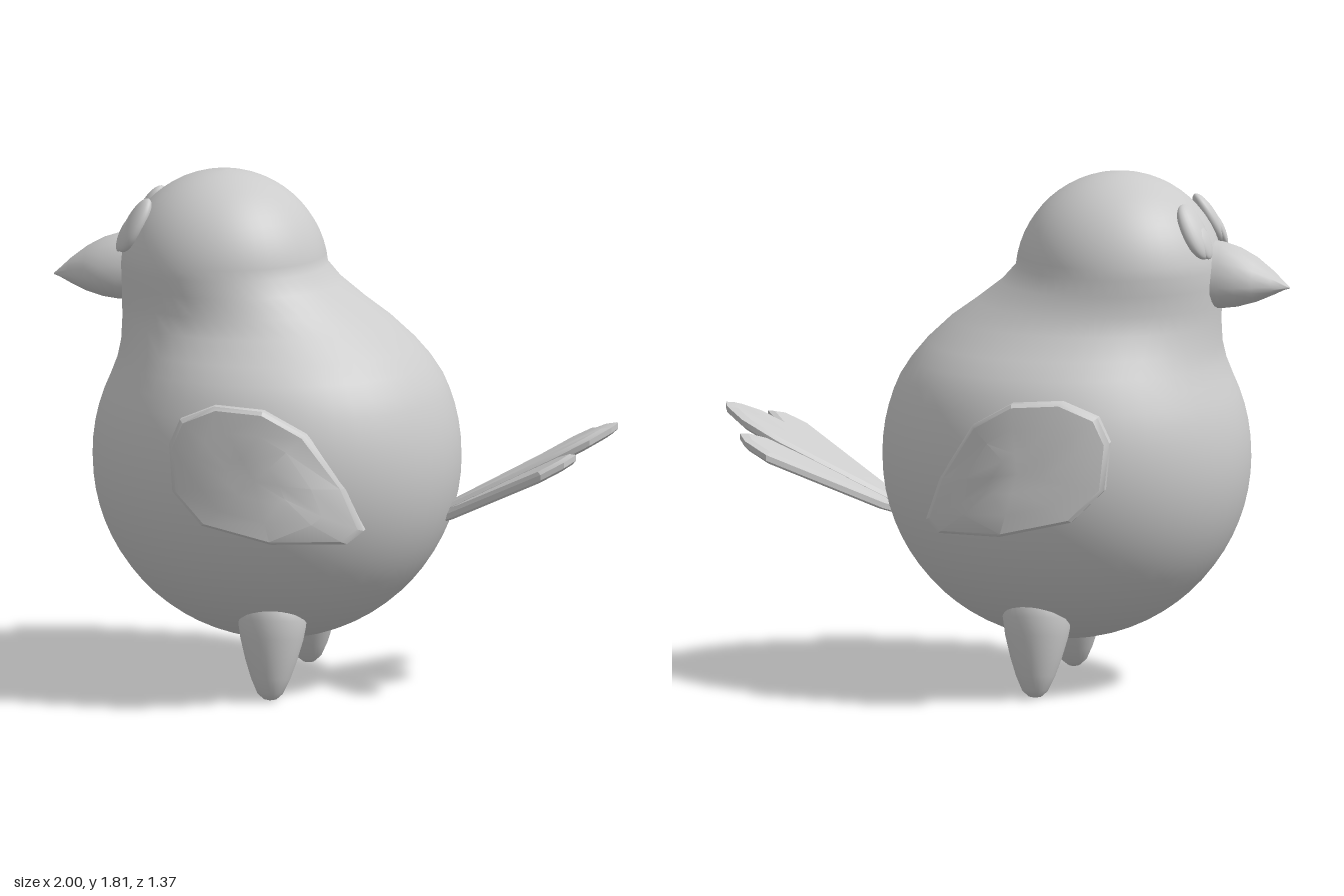
import * as THREE from 'three';
import { toCreasedNormals } from 'three/addons/utils/BufferGeometryUtils.js';

const grey = new THREE.MeshStandardMaterial({ color: 0xcccccc });

function mesh(name, geometry) {
  const m = new THREE.Mesh(geometry, grey);
  m.name = name;
  return m;
}

// Closed solid through a list of rings; both ends are capped and faces always point outward.
function loft(rings, crease) {
  const n = rings[0].length, pos = rings.flat(2), idx = [];
  for (let r = 0; r < rings.length - 1; r++) {
    for (let i = 0; i < n; i++) {
      const a = r * n + i, b = r * n + (i + 1) % n;
      idx.push(a, b, b + n, a, b + n, a + n);
    }
  }
  [0, rings.length - 1].forEach((r, end) => {
    const c = pos.length / 3;
    for (let k = 0; k < 3; k++) pos.push(rings[r].reduce((s, p) => s + p[k] / n, 0));
    for (let i = 0; i < n; i++) {
      const a = r * n + i, b = r * n + (i + 1) % n;
      idx.push(...(end ? [a, b, c] : [b, a, c]));
    }
  });
  // Signed volume tells whether the solid is inside out
  const v = (i) => new THREE.Vector3().fromArray(pos, i * 3);
  let volume = 0;
  for (let i = 0; i < idx.length; i += 3) volume += v(idx[i]).dot(v(idx[i + 1]).cross(v(idx[i + 2])));
  if (volume < 0) idx.reverse();
  const g = new THREE.BufferGeometry();
  g.setAttribute('position', new THREE.Float32BufferAttribute(pos, 3));
  g.setIndex(idx);
  g.computeVertexNormals();
  return crease ? toCreasedNormals(g, crease) : g;
}

// Round body, neck and head as one stack of ellipses: y, xMin, xMax, half depth
function makeBody() {
  const stations = [];
  for (let i = 0; i <= 22; i++) {
    const t = -Math.PI / 2 + 0.02 + (i / 22) * (Math.PI / 2 + 0.43);
    const r = 0.645 * Math.cos(t);
    stations.push([0.81 + 0.645 * Math.sin(t), -0.207 - r, -0.207 + r, r * 0.985]);
  }
  stations.push(
    [1.15, -0.765, 0.335, 0.54], [1.21, -0.753, 0.285, 0.487], [1.29, -0.75, 0.2, 0.42],
    [1.355, -0.752, 0.11, 0.385], [1.425, -0.757, 0.02, 0.37]);
  for (let i = 0; i <= 14; i++) {
    const t = 0.1 + (i / 14) * (Math.PI / 2 - 0.12);
    const r = 0.365 * Math.cos(t);
    stations.push([1.447 + 0.365 * Math.sin(t), -0.395 - r, -0.395 + r, r]);
  }
  const rings = stations.map(([y, x0, x1, d]) => Array.from({ length: 48 }, (_, i) => {
    const a = (i / 48) * Math.PI * 2;
    return [(x0 + x1) / 2 + Math.cos(a) * (x1 - x0) / 2, y, Math.sin(a) * d];
  }));
  return mesh('body', loft(rings));
}

// Beak sections along x: x, mouth height, height above, depth below, half width
function makeBeak() {
  const rings = [
    [-0.66, 1.43, 0.155, 0.09, 0.115], [-0.76, 1.43, 0.148, 0.088, 0.118],
    [-0.82, 1.43, 0.128, 0.08, 0.116], [-0.88, 1.43, 0.095, 0.063, 0.095],
    [-0.94, 1.428, 0.05, 0.035, 0.056], [-0.98, 1.424, 0.016, 0.012, 0.02],
    [-1, 1.42, 0.002, 0.002, 0.002],
  ].map(([x, y, up, down, w]) => Array.from({ length: 20 }, (_, i) => {
    const a = (i / 20) * Math.PI * 2, s = Math.sin(a);
    return [x, y + s * (s > 0 ? up : down), Math.cos(a) * w];
  }));
  return mesh('beak', loft(rings, 0.7));
}

// Oval eye with a smaller pupil, lying flat on the head
function makeEye(side) {
  const eye = new THREE.Group();
  eye.name = side > 0 ? 'eyeFrontSide' : 'eyeBackSide';
  const oval = (name, x, y, z, w, h, d) => {
    const m = mesh(name, new THREE.SphereGeometry(1, 24, 16));
    m.position.set(x, y, z * side);
    m.lookAt(x * 2 + 0.395, y * 2 - 1.45, z * 2 * side);
    m.scale.set(w, h, d);
    eye.add(m);
  };
  oval('eyeball', -0.685, 1.63, 0.14, 0.058, 0.105, 0.032);
  oval('pupil', -0.722, 1.596, 0.143, 0.034, 0.063, 0.018);
  return eye;
}

// Wing plate that wraps around the flank
const wingOutline = [
  [-0.475, 0.95], [-0.435, 1.04], [-0.31, 1.095], [-0.135, 1.085], [0.01, 1.0], [0.14, 0.8],
  [0.197, 0.645], [0.145, 0.605], [-0.1, 0.62], [-0.35, 0.675], [-0.46, 0.785],
];
const wingDepth = [[-0.48, 0.635], [-0.38, 0.672], [-0.1, 0.69], [0.05, 0.64], [0.15, 0.55], [0.2, 0.51]];
function wingZ(x, y) {
  let i = 0;
  while (i < wingDepth.length - 2 && x > wingDepth[i + 1][0]) i++;
  const [a, b] = [wingDepth[i], wingDepth[i + 1]];
  return a[1] + (b[1] - a[1]) * (x - a[0]) / (b[0] - a[0]) - 0.065 * (y - 0.62);
}
function makeWing(side) {
  // Scale of the outline and how far below the outer surface each ring lies
  const rings = [[0.3, 0], [0.65, 0], [0.95, 0.002], [1, 0.015], [1, 0.05], [0.9, 0.1]].map(([s, inset]) =>
    wingOutline.map(([px, py]) => {
      const x = -0.16 + (px + 0.16) * s, y = 0.84 + (py - 0.84) * s;
      return [x, y, side * (wingZ(x, y) - inset)];
    }));
  return mesh(side > 0 ? 'wingFrontSide' : 'wingBackSide', loft(rings, 0.5));
}

// Tail feather: outline in x and z, laid on the rising plane of the tail
function makeFeather(name, outline, drop) {
  const cx = 0.68, cz = outline.reduce((s, p) => s + p[1] / outline.length, 0);
  const rings = [[0.88, 0], [1, 0.014], [1, 0.034], [0.94, 0.042]].map(([s, down]) =>
    outline.map(([px, pz]) => {
      const x = cx + (px - cx) * s;
      return [x, 0.66 + (x - 0.41) * 0.53 - down - drop, -0.025 + cz + (pz - cz) * s];
    }));
  return mesh(name, loft(rings, 0.4));
}

// Pointed leg, leaning outward at the bottom
function makeLeg(side) {
  const profile = [[0, 0], [0.022, 0.004], [0.045, 0.025], [0.068, 0.075], [0.09, 0.14], [0.11, 0.215],
    [0.121, 0.28], [0.115, 0.34], [0.07, 0.4], [0, 0.42]].map(([r, y]) => new THREE.Vector2(r, y));
  const leg = mesh(side > 0 ? 'legFrontSide' : 'legBackSide', new THREE.LatheGeometry(profile, 28));
  leg.position.set(-0.163, 0.003, 0.36 * side);
  leg.rotation.x = -0.17 * side;
  return leg;
}

export function createModel() {
  const bird = new THREE.Group();
  bird.name = 'bird';
  bird.add(makeBody(), makeBeak());
  for (const side of [1, -1]) {
    bird.add(makeEye(side), makeWing(side), makeLeg(side));
    const outer = [[0.36, 0.02], [0.42, 0.1], [0.79, 0.345], [0.87, 0.32], [0.9, 0.255], [0.84, 0.165], [0.42, 0.02]];
    bird.add(makeFeather(side > 0 ? 'tailFeatherFrontSide' : 'tailFeatherBackSide',
      outer.map(([x, z]) => [x, z * side]), 0.015));
  }
  const half = [[0.36, 0.05], [0.44, 0.07], [0.79, 0.137], [0.92, 0.115], [0.985, 0.05]];
  bird.add(makeFeather('tailFeatherMiddle',
    [...half, [1, 0], ...half.map(([x, z]) => [x, -z]).reverse()], 0));
  return bird;
}
